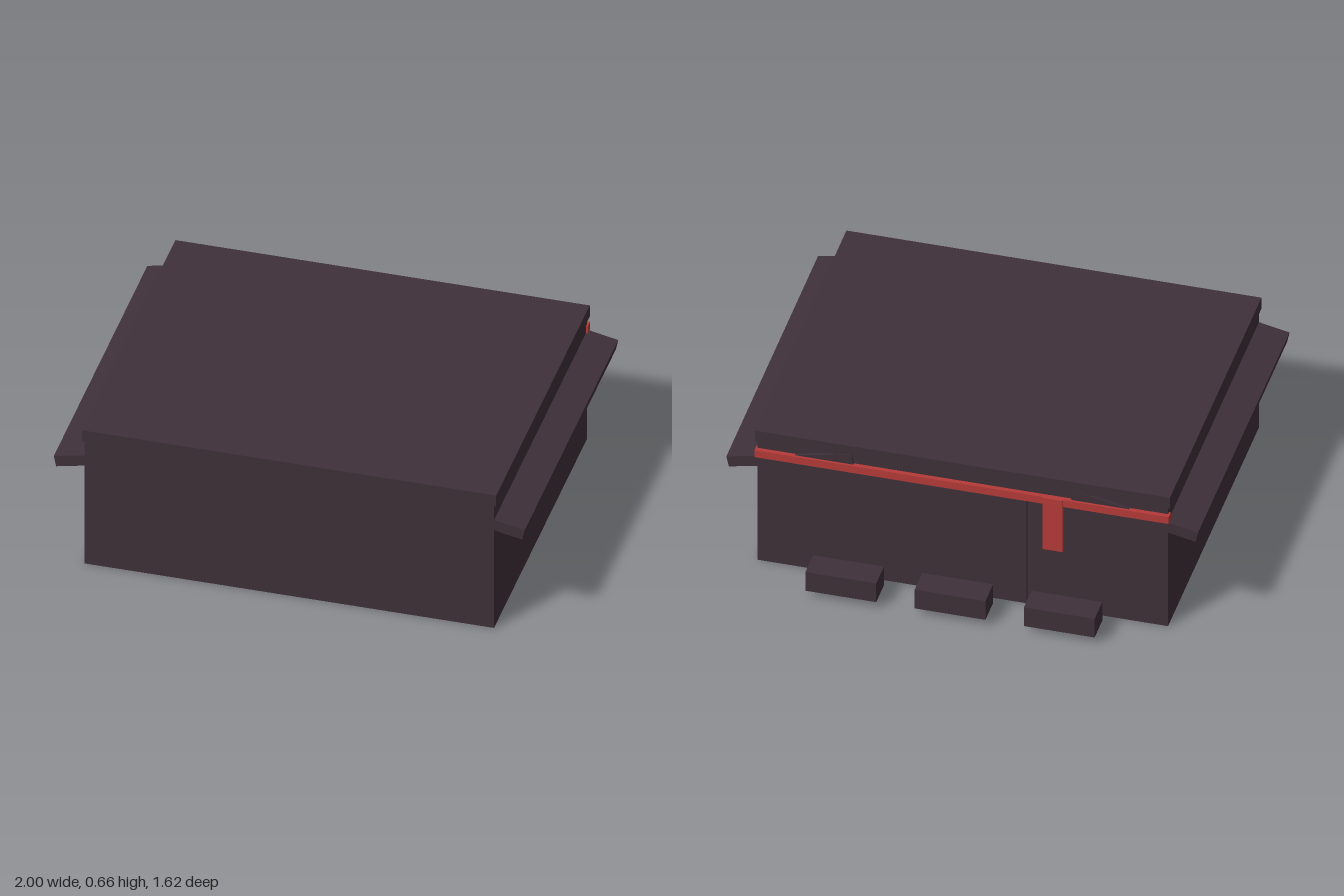
import * as THREE from 'three';

export function createModel() {
  const group = new THREE.Group();
  const dark = new THREE.MeshStandardMaterial({ color: 0x3f3039 });
  dark.name = 'dark plum';
  const red = new THREE.MeshStandardMaterial({ color: 0xb53a38 });
  red.name = 'red trim';

  // Box given by its lower and upper limits on each axis
  function box(name, material, [x0, x1], [y0, y1], [z0, z1]) {
    const mesh = new THREE.Mesh(new THREE.BoxGeometry(x1 - x0, y1 - y0, z1 - z0), material);
    mesh.position.set((x0 + x1) / 2, (y0 + y1) / 2, (z0 + z1) / 2);
    mesh.name = name;
    group.add(mesh);
    return mesh;
  }

  // Main hall and flat roof
  box('body', dark, [-0.87, 0.87], [0, 0.61], [-0.61, 0.808]);
  box('roof', dark, [-0.88, 0.88], [0.605, 0.66], [-0.617, 0.81]);

  // Raised door panel in the back wall
  box('doorPanel', dark, [-0.275, 0.275], [0.03, 0.53], [-0.626, -0.6]);

  // Red trim and hanging banner
  box('trimBand', red, [-0.878, 0.878], [0.535, 0.57], [-0.63, -0.595]);
  box('banner', red, [-0.43, -0.345], [0.31, 0.57], [-0.637, -0.612]);

  // Loose blocks standing off the back wall
  for (const x of [-0.463, 0, 0.463]) {
    box('block', dark, [x - 0.15, x + 0.15], [0.035, 0.13], [-0.81, -0.69]);
  }

  // Sloping eaves and window ledges, mirrored
  const tilt = THREE.MathUtils.degToRad(12);
  const length = 0.54, thickness = 0.05;
  for (const side of [-1, 1]) {
    const eave = box('eave', dark, [-length / 2, length / 2], [-thickness / 2, thickness / 2], [-0.62, 0.807]);
    eave.rotation.z = -side * tilt;
    eave.position.x = side * (1 - Math.cos(tilt) * length / 2 - Math.sin(tilt) * thickness / 2);
    eave.position.y = 0.508 + Math.sin(tilt) * length / 2 - Math.cos(tilt) * thickness / 2;

    for (const z of [0.37, -0.067]) {
      const xs = side > 0 ? [0.86, 0.896] : [-0.896, -0.86];
      box('windowLedge', dark, xs, [0.28, 0.322], [z - 0.123, z + 0.123]);
    }
  }
  return group;
}
